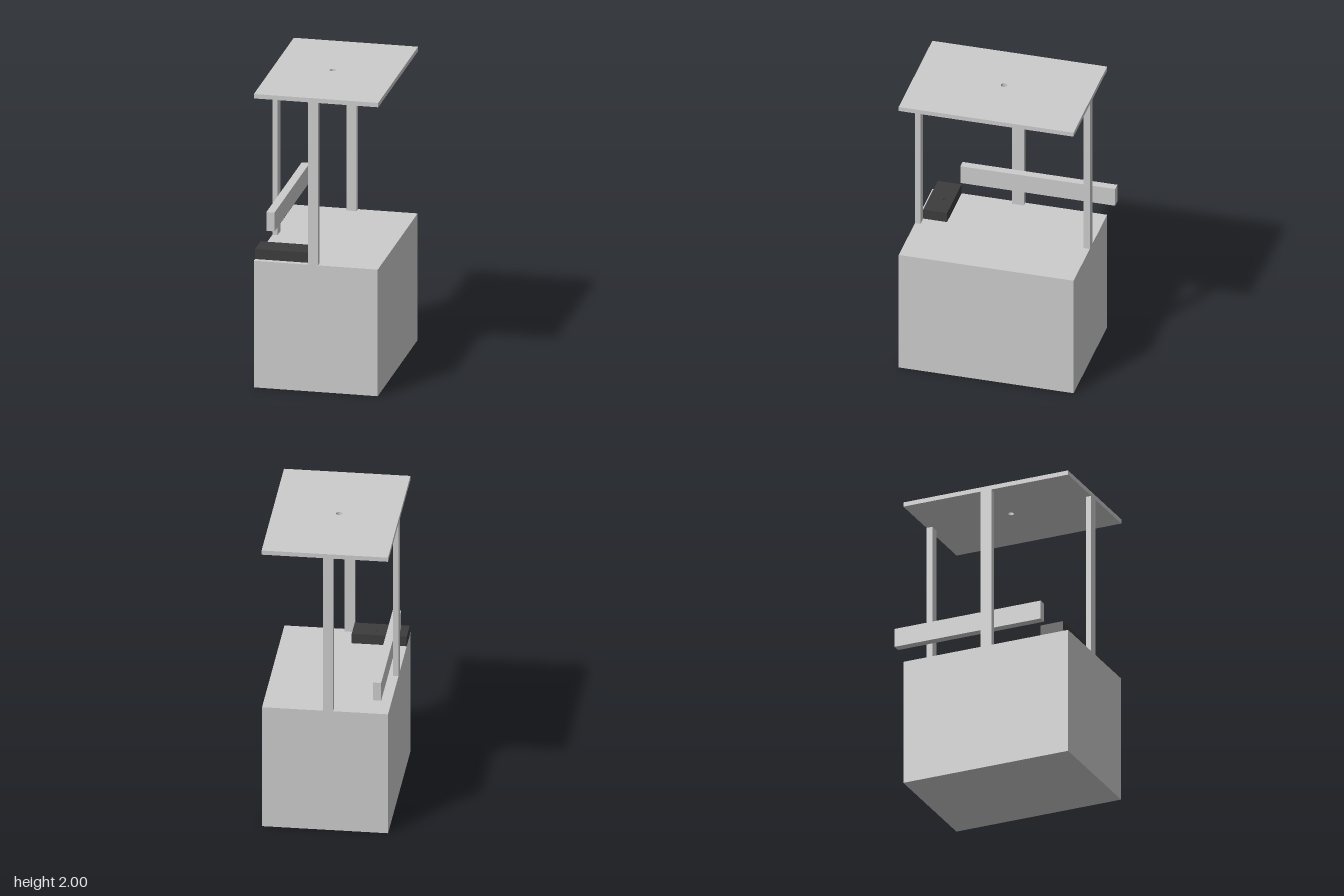
import * as THREE from 'three';

const grey = new THREE.MeshStandardMaterial({ color: 0xcccccc });
const dark = new THREE.MeshStandardMaterial({ color: 0x3c3c3c });

// Box given by its lower and upper limits on each axis
function block(name, [x0, x1], [y0, y1], [z0, z1], material = grey) {
  const mesh = new THREE.Mesh(new THREE.BoxGeometry(x1 - x0, y1 - y0, z1 - z0), material);
  mesh.name = name;
  mesh.position.set((x0 + x1) / 2, (y0 + y1) / 2, (z0 + z1) / 2);
  return mesh;
}

// Horizontal slab with a round hole drilled straight down through it
function drilledSlab(name, [x0, x1], [y0, y1], [z0, z1], [hx, hz, r], material = grey) {
  const shape = new THREE.Shape([
    new THREE.Vector2(x0, -z1), new THREE.Vector2(x1, -z1),
    new THREE.Vector2(x1, -z0), new THREE.Vector2(x0, -z0),
  ]);
  shape.holes.push(new THREE.Path().absarc(hx, -hz, r, 0, Math.PI * 2, true));
  const geometry = new THREE.ExtrudeGeometry(shape, { depth: y1 - y0, bevelEnabled: false, curveSegments: 24 });
  geometry.rotateX(-Math.PI / 2);
  const mesh = new THREE.Mesh(geometry, material);
  mesh.name = name;
  mesh.position.y = y0;
  return mesh;
}

export function createModel() {
  const group = new THREE.Group();
  group.name = 'canopiedCounter';
  const deck = 0.863, roofBase = 1.97;
  const postHeight = [deck, roofBase];

  group.add(
    // Solid base and the flat roof with its central hole
    block('base', [-0.413, 0.408], [0, deck], [-0.547, 0.625]),
    drilledSlab('roof', [-0.413, 0.411], [roofBase, 2], [-0.547, 0.625], [-0.022, 0.037, 0.021]),

    // Three posts at the middle of the front, back and right edges
    block('frontPost', [-0.055, 0.012], postHeight, [0.588, 0.625]),
    block('backPost', [-0.055, 0.012], postHeight, [-0.547, -0.505]),
    block('sidePost', [-0.413, -0.378], postHeight, [0.002, 0.081]),

    // Long rail fixed to the inside of the side post
    block('rail', [-0.378, -0.324], [1.0, 1.128], [-0.625, 0.413]),

    // Dark drilled block in the front corner
    drilledSlab('cornerBlock', [-0.413, -0.055], [deck, 0.932], [0.428, 0.588], [-0.21, 0.49, 0.008], dark),
  );
  return group;
}
